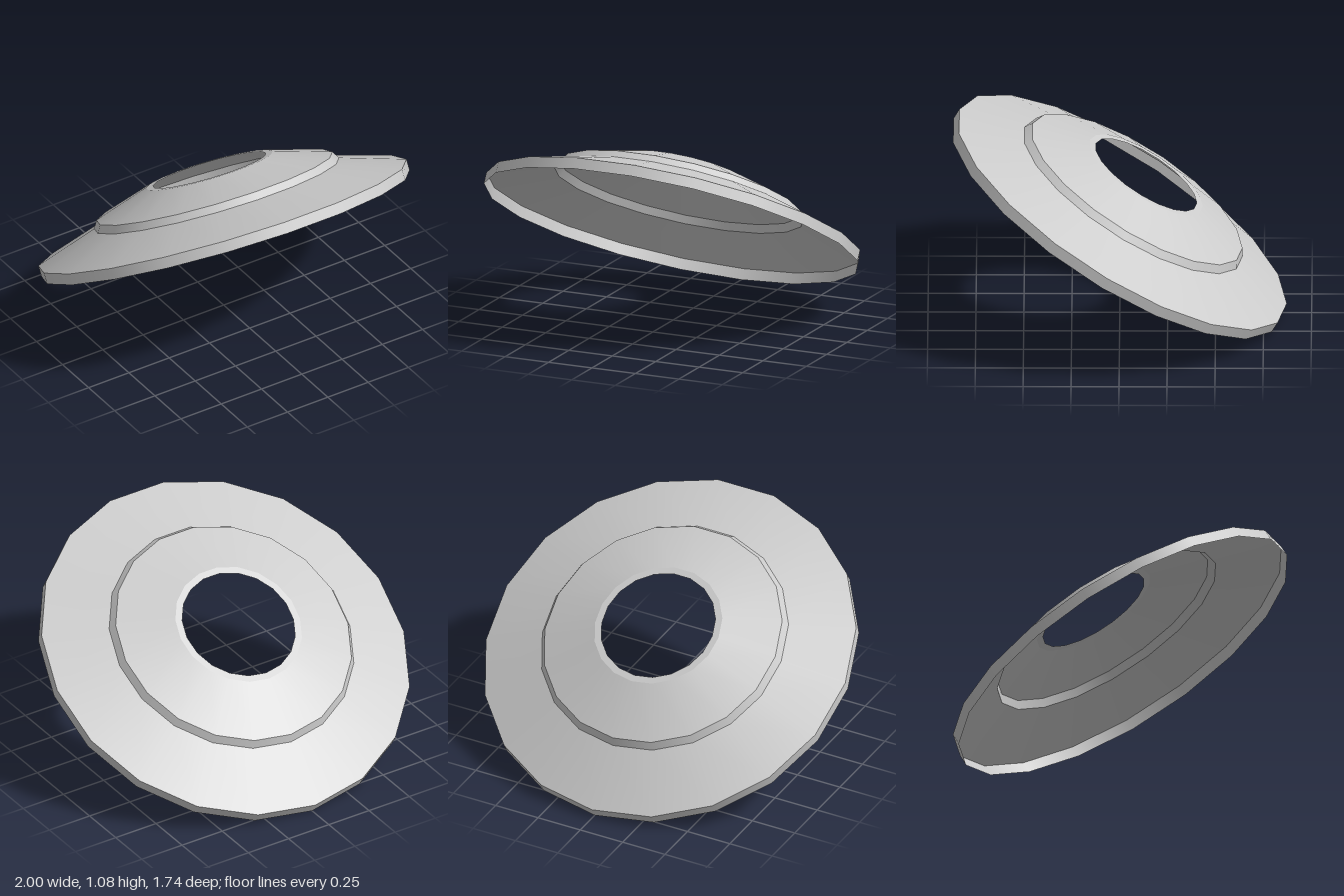
import * as THREE from 'three';

const SIDES = 19;
const TILT = THREE.MathUtils.degToRad(-31);

export function createModel() {
  const model = new THREE.Group();
  model.name = 'steppedDisc';
  const material = new THREE.MeshStandardMaterial({ color: 0xcccccc, side: THREE.DoubleSide });

  // Profile corners [radius, height] from the outer rim up to the hole
  const profile = [
    [1.003, 0], [1.003, 0.06], [0.667, 0.17], [0.643, 0.21], [0.345, 0.305], [0.308, 0.305],
  ];
  const names = ['outerRim', 'lowerCone', 'step', 'upperCone', 'holeLip'];

  // Open shell: one band per profile segment keeps the ring edges sharp
  const shell = new THREE.Group();
  shell.name = 'shell';
  names.forEach((name, i) => {
    const points = [profile[i], profile[i + 1]].map(([r, h]) => new THREE.Vector2(r, h));
    const band = new THREE.Mesh(new THREE.LatheGeometry(points, SIDES, Math.PI), material);
    band.name = name;
    shell.add(band);
  });

  // Lean the whole disc back, resting on its rear corner
  shell.rotation.x = TILT;
  shell.position.set(0, 0.517, 0.02);
  model.add(shell);
  return model;
}
